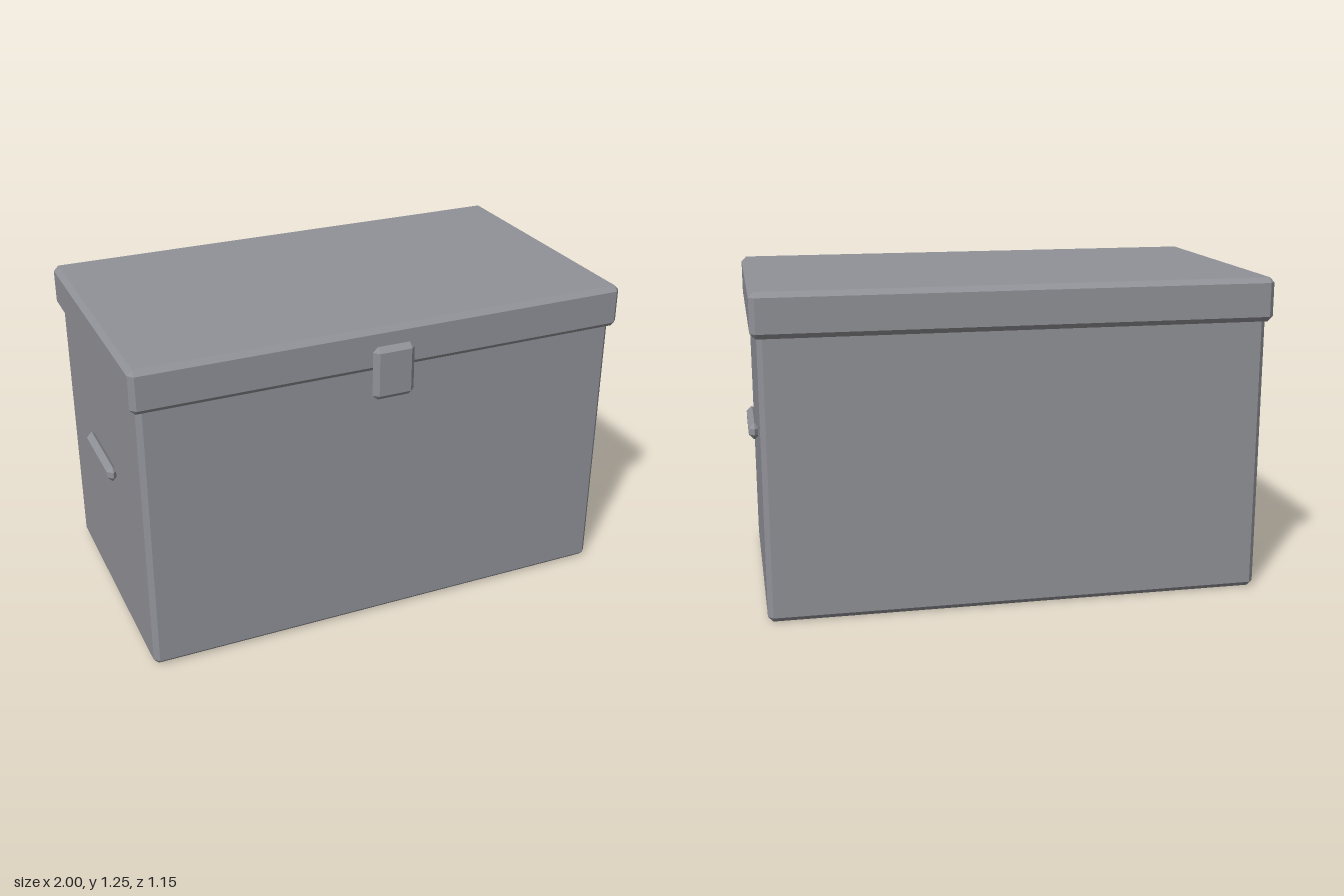
import * as THREE from 'three';
import { ConvexGeometry } from 'three/addons/geometries/ConvexGeometry.js';

// Box with flat chamfers on all edges, given by its min and max corners
function chamferBox(min, max, c) {
  const half = min.map((v, i) => (max[i] - v) / 2);
  const points = [];
  for (const sx of [-1, 1]) for (const sy of [-1, 1]) for (const sz of [-1, 1]) {
    const sign = [sx, sy, sz];
    // Each corner is cut into three points, one per adjoining face
    for (let face = 0; face < 3; face++) {
      points.push(new THREE.Vector3(...sign.map((s, i) => s * (half[i] - (i === face ? 0 : c)))));
    }
  }
  const geometry = new ConvexGeometry(points);
  geometry.translate(...min.map((v, i) => (v + max[i]) / 2));
  return geometry;
}

export function createModel() {
  const group = new THREE.Group();
  group.name = 'chest';
  const grey = new THREE.MeshStandardMaterial({ color: 0x909197 });
  grey.name = 'grey';

  const add = (name, min, max, chamfer) => {
    const mesh = new THREE.Mesh(chamferBox(min, max, chamfer), grey);
    mesh.name = name;
    group.add(mesh);
  };

  // Main box and overhanging lid
  add('body', [-0.965, 0, -0.555], [0.965, 1.12, 0.522], 0.02);
  add('lid', [-0.988, 1.08, -0.577], [0.988, 1.25, 0.544], 0.02);

  // Front latch across the lid seam
  add('latch', [-0.084, 0.973, 0.535], [0.084, 1.184, 0.576], 0.0195);

  // Side handles
  add('leftHandle', [0.957, 0.616, -0.188], [1, 0.68, 0.156], 0.02);
  add('rightHandle', [-1, 0.616, -0.188], [-0.957, 0.68, 0.156], 0.02);

  return group;
}
